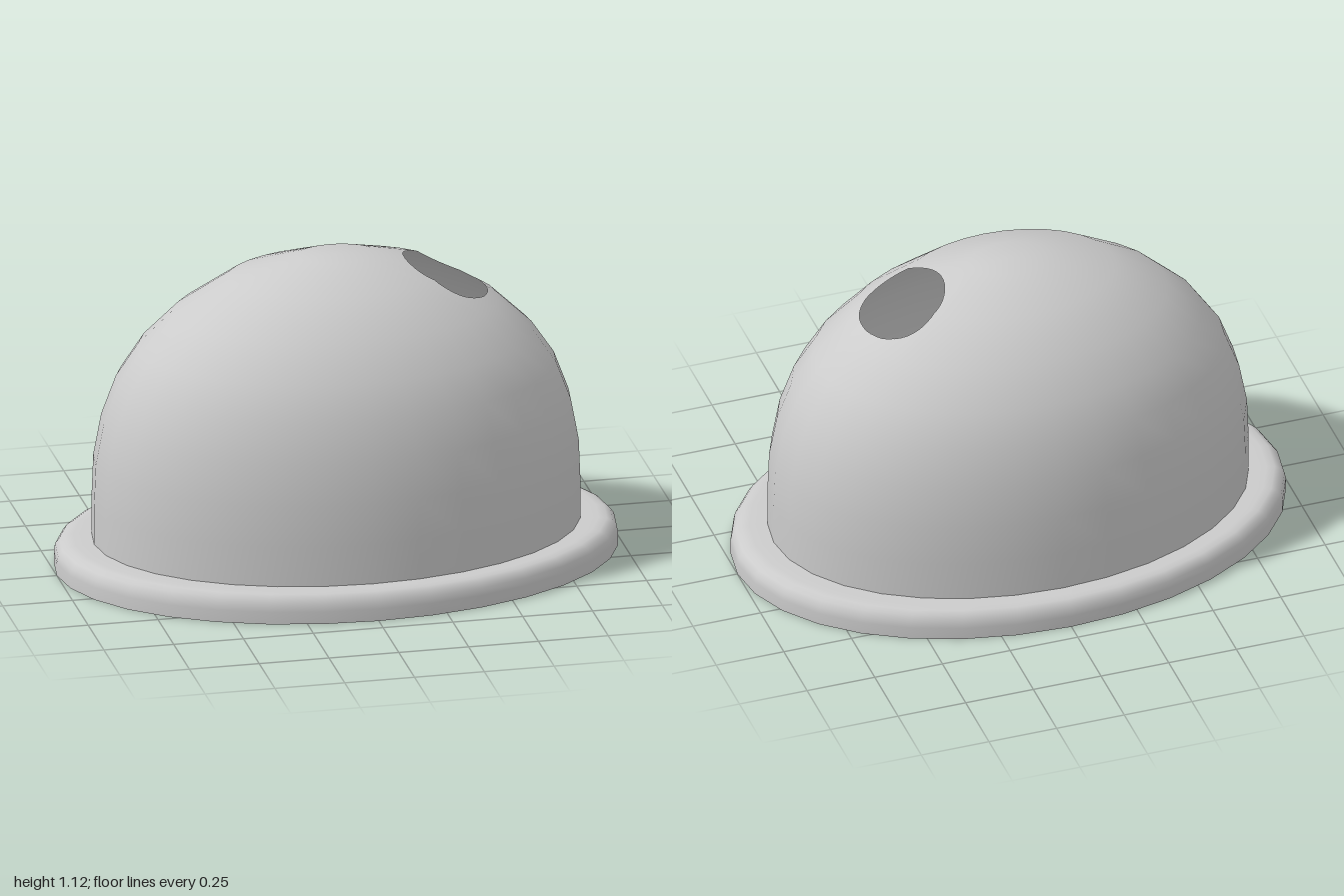
import * as THREE from 'three';

const SEGMENTS = 32;
const DEPTH = 0.683; // oval plan: z radius relative to x radius

// Lathe a profile (bottom to top) and squash it to the oval plan.
function ovalLathe(profile) {
  const points = profile.map(([r, y]) => new THREE.Vector2(r, y));
  return new THREE.LatheGeometry(points, SEGMENTS).scale(1, 1, DEPTH);
}

// Keep the part of a polygon where side(vertex) * sign >= 0.
function clip(poly, side, sign) {
  const out = [];
  poly.forEach((a, i) => {
    const b = poly[(i + 1) % poly.length];
    const da = side(a) * sign, db = side(b) * sign;
    if (da >= 0) out.push(a);
    if ((da > 0 && db < 0) || (da < 0 && db > 0)) {
      const t = da / (da - db);
      out.push({ p: a.p.clone().lerp(b.p, t), n: a.n.clone().lerp(b.n, t).normalize() });
    }
  });
  return out;
}

// Cut a vertical oval hole out of the upper part of a surface.
function cutHole(geometry, cx, cz, rx, rz, minY) {
  const src = geometry.toNonIndexed();
  const pos = src.attributes.position, nor = src.attributes.normal;
  const positions = [], normals = [];
  const emit = (poly) => {
    for (let i = 1; i < poly.length - 1; i++) {
      for (const v of [poly[0], poly[i], poly[i + 1]]) {
        positions.push(...v.p.toArray());
        normals.push(...v.n.toArray());
      }
    }
  };
  // One half-plane per side of the hole's outline, positive outside.
  const count = 40;
  const sides = Array.from({ length: count }, (_, i) => {
    const a = (i / count) * Math.PI * 2;
    const c = Math.cos(a) / rx, s = Math.sin(a) / rz;
    return (v) => (v.p.x - cx) * c + (v.p.z - cz) * s - 1;
  });
  for (let i = 0; i < pos.count; i += 3) {
    let poly = [0, 1, 2].map((k) => ({
      p: new THREE.Vector3().fromBufferAttribute(pos, i + k),
      n: new THREE.Vector3().fromBufferAttribute(nor, i + k),
    }));
    const near = poly.some((v) => v.p.y > minY) &&
      sides.every((side) => poly.some((v) => side(v) < 0));
    if (!near) { emit(poly); continue; }
    for (const side of sides) {
      emit(clip(poly, side, 1));
      poly = clip(poly, side, -1);
      if (poly.length < 3) break;
    }
  }
  const cut = new THREE.BufferGeometry();
  cut.setAttribute('position', new THREE.Float32BufferAttribute(positions, 3));
  cut.setAttribute('normal', new THREE.Float32BufferAttribute(normals, 3));
  return cut;
}

export function createModel() {
  const group = new THREE.Group();
  group.name = 'ovalDome';
  const material = new THREE.MeshStandardMaterial({ color: 0xcccccc, side: THREE.DoubleSide });
  const add = (name, geometry) => {
    const mesh = new THREE.Mesh(geometry, material);
    mesh.name = name;
    group.add(mesh);
  };

  // Thin hollow dome, open below, with a round hole near the top
  const dome = ovalLathe([
    [0.866, 0.105], [0.866, 0.25], [0.86, 0.4], [0.832, 0.55], [0.78, 0.69],
    [0.7, 0.81], [0.575, 0.93], [0.385, 1.05], [0.14, 1.12], [0, 1.12],
  ]);
  add('domeShell', cutHole(dome, 0.39, 0.004, 0.147, 0.163, 0.8));

  // Hollow rim with a rounded shoulder, open underneath
  add('baseRim', ovalLathe([
    [1, 0], [1, 0.045], [0.995, 0.07], [0.98, 0.09], [0.96, 0.101],
    [0.93, 0.105], [0.866, 0.105],
  ]));
  return group;
}
